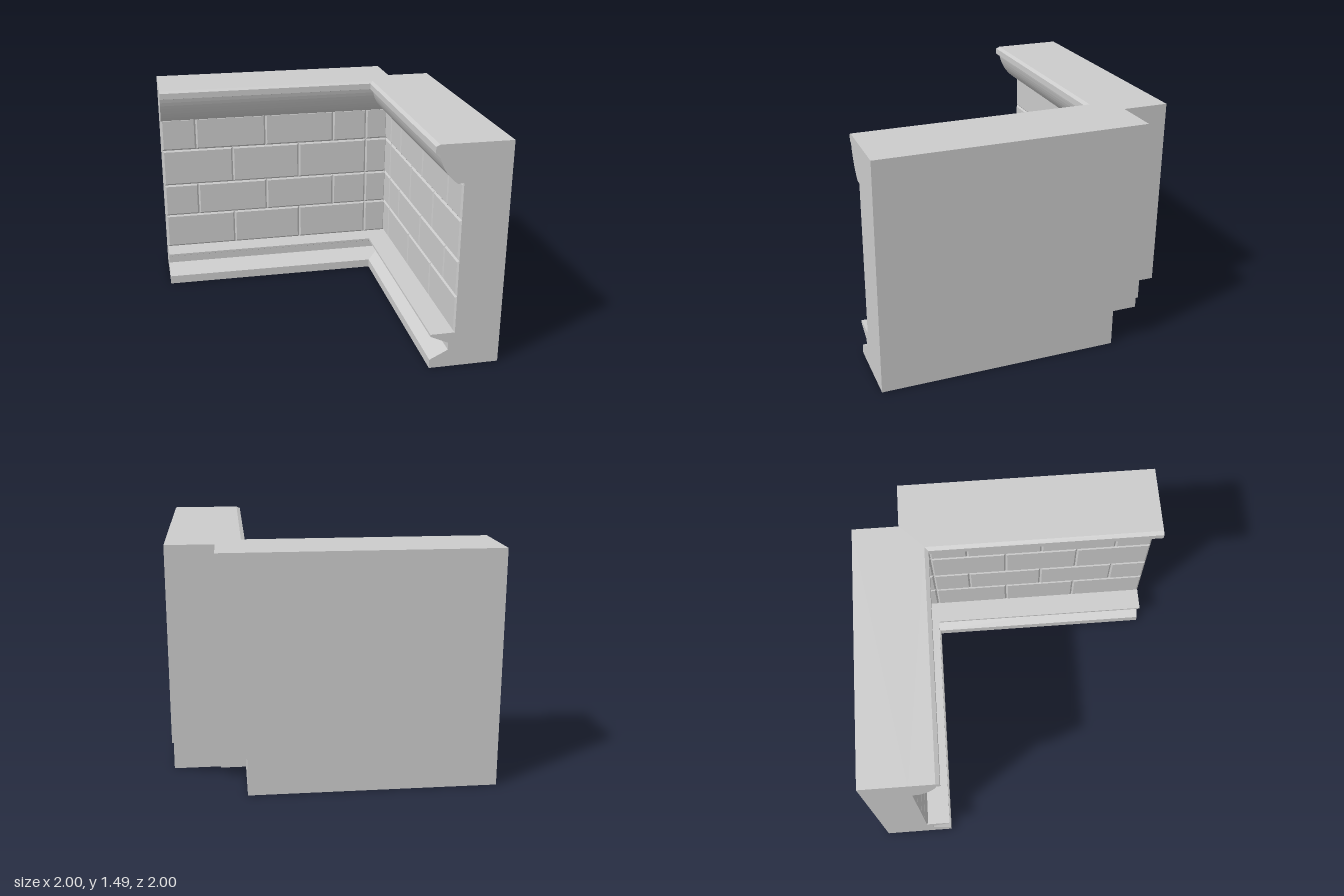
import * as THREE from 'three';

const material = new THREE.MeshStandardMaterial({ color: 0xcccccc, flatShading: true });
const HEIGHT = 1.49, WALL = 0.7, BASE_TOP = 0.24, CORNICE_BOTTOM = 1.24;

function polygon(points) {
  return new THREE.Shape(points.map(([x, y]) => new THREE.Vector2(x, y)));
}

// Extrudes a profile (x, y) along z to z = 1, mitred at the inner corner on z = -x
function mitredMoulding(points) {
  const g = new THREE.ExtrudeGeometry(polygon(points), { depth: 1, bevelEnabled: false });
  const p = g.attributes.position;
  for (let i = 0; i < p.count; i++) if (p.getZ(i) < 0.5) p.setZ(i, -p.getX(i));
  g.computeVertexNormals();
  return g;
}

// Block on the inner face with chamfered edges, spanning z0..z1 and y0..y1
function brick(z0, z1, y0, y1) {
  const depth = 0.01, bevel = 0.012;
  const g = new THREE.BoxGeometry(depth, y1 - y0, z1 - z0).toNonIndexed();
  const p = g.attributes.position;
  for (let i = 0; i < p.count; i++) {
    if (p.getX(i) > 0) continue;
    p.setY(i, p.getY(i) - Math.sign(p.getY(i)) * bevel);
    p.setZ(i, p.getZ(i) - Math.sign(p.getZ(i)) * bevel);
  }
  g.translate(WALL - depth / 2, (y0 + y1) / 2, (z0 + z1) / 2);
  g.computeVertexNormals();
  return g;
}

// Reflects a geometry across the corner diagonal, keeping faces outward
function mirrorAcrossCorner(geometry) {
  const g = geometry.index ? geometry.toNonIndexed() : geometry.clone();
  const src = g.attributes.position.clone(), dst = g.attributes.position;
  for (let i = 0; i < src.count; i++) {
    const j = i - (i % 3) + (2 - (i % 3));
    dst.setXYZ(i, -src.getZ(j), src.getY(j), -src.getX(j));
  }
  g.computeVertexNormals();
  return g;
}

// All parts of the arm that runs along z
function armParts() {
  const parts = [];

  // Rear slab, cut back at the lower outer corner
  const slab = new THREE.ExtrudeGeometry(polygon([
    [1, 0], [1, HEIGHT], [-WALL, HEIGHT], [-WALL, BASE_TOP], [-0.54, BASE_TOP], [-0.54, 0],
  ]), { depth: 1 - WALL, bevelEnabled: false });
  slab.rotateY(-Math.PI / 2).translate(1, 0, 0);
  parts.push(['wallSlab', slab]);

  // Foot under the base moulding
  const foot = new THREE.BoxGeometry(0.16, 0.06, 1.54);
  foot.translate(0.62, 0.03, 0.23);
  parts.push(['foot', foot]);

  // Base moulding with a trapezoidal groove
  parts.push(['baseMoulding', mitredMoulding([
    [WALL, 0.06], [WALL, BASE_TOP], [0.54, BASE_TOP], [0.54, 0.225],
    [0.66, 0.17], [0.66, 0.12], [0.54, 0.06],
  ])]);

  // Cornice with a rounded underside and a small fillet on top
  const curve = new THREE.QuadraticBezierCurve(
    new THREE.Vector2(0.54, 1.43), new THREE.Vector2(0.565, 1.31), new THREE.Vector2(0.66, CORNICE_BOTTOM));
  parts.push(['cornice', mitredMoulding([
    [WALL, CORNICE_BOTTOM], [WALL, HEIGHT], [0.54, HEIGHT], [0.515, 1.478], [0.515, 1.437],
    ...curve.getPoints(9).map((v) => [v.x, v.y]),
  ])]);

  // Four staggered courses of bricks
  const rows = [BASE_TOP, 0.492, 0.733, 1.003, CORNICE_BOTTOM];
  const joints = [
    [-WALL, -0.535, -0.015, 0.485, 1],
    [-WALL, -0.535, -0.28, 0.235, 0.75, 1],
  ];
  for (let r = 0; r < 4; r++) {
    const cuts = joints[r % 2];
    for (let i = 0; i < cuts.length - 1; i++) {
      parts.push(['brick', brick(cuts[i], cuts[i + 1], rows[r], rows[r + 1])]);
    }
  }
  return parts;
}

export function createModel() {
  const model = new THREE.Group();
  model.name = 'wallCorner';
  const sideArm = new THREE.Group();
  const backArm = new THREE.Group();
  sideArm.name = 'sideWall';
  backArm.name = 'backWall';
  for (const [name, geometry] of armParts()) {
    const a = new THREE.Mesh(geometry, material);
    const b = new THREE.Mesh(mirrorAcrossCorner(geometry), material);
    a.name = b.name = name;
    sideArm.add(a);
    backArm.add(b);
  }
  model.add(sideArm, backArm);
  return model;
}
